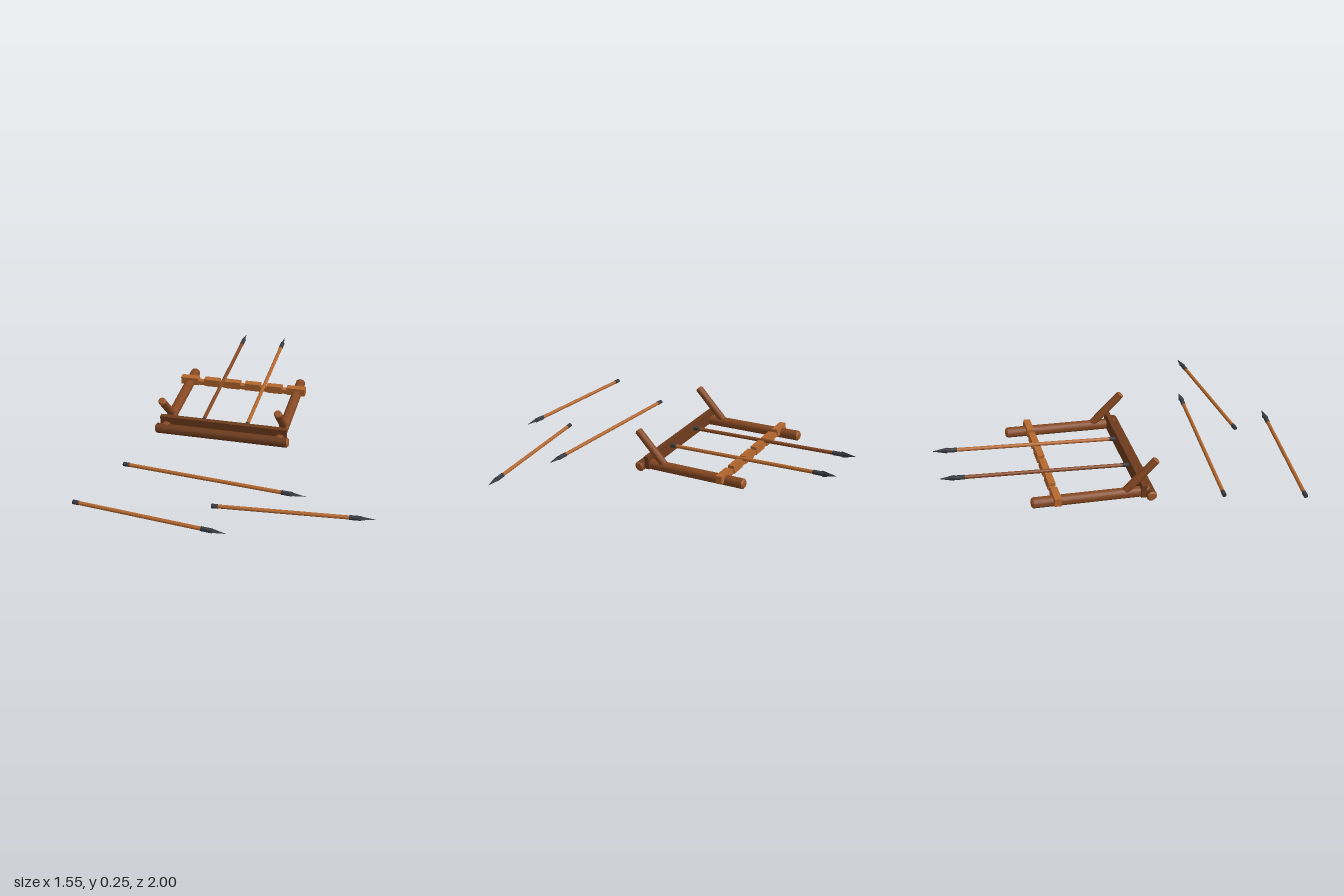
import * as THREE from 'three';
import { toCreasedNormals } from 'three/addons/utils/BufferGeometryUtils.js';

const mat = (name, color) => {
  const m = new THREE.MeshStandardMaterial({ color });
  m.name = name;
  return m;
};

export function createModel() {
  const root = new THREE.Group();
  root.name = 'spearLauncher';
  const darkWood = mat('darkWood', 0x6c3a1c);
  const midWood = mat('midWood', 0x864822);
  const cutWood = mat('cutWood', 0x9c5628);
  const lightWood = mat('lightWood', 0xb4672e);
  const metal = mat('darkMetal', 0x393b40);

  const add = (parent, name, geo, material) => {
    const m = new THREE.Mesh(toCreasedNormals(geo, 0.6), material);
    m.name = name;
    parent.add(m);
    return m;
  };

  // Log with chamfered, paler cut ends running between two points
  const log = (name, a, b, r, material) => {
    const g = new THREE.Group();
    g.name = name;
    const from = new THREE.Vector3(...a), to = new THREE.Vector3(...b);
    const len = from.distanceTo(to), c = r * 0.3;
    const lathe = (part, pts, m) =>
      add(g, part, new THREE.LatheGeometry(pts.map(p => new THREE.Vector2(...p)), 16, Math.PI / 16), m);
    lathe('bark', [[r, c], [r, len - c]], material);
    lathe('startCut', [[0, 0], [r - c, 0], [r, c]], cutWood);
    lathe('endCut', [[r, len - c], [r - c, len], [0, len]], cutWood);
    g.position.copy(from);
    g.quaternion.setFromUnitVectors(new THREE.Vector3(0, 1, 0), to.sub(from).normalize());
    root.add(g);
  };

  // Spear from tail to tip; roll turns the flat blade
  const spear = (name, a, b, wood, roll) => {
    const g = new THREE.Group();
    g.name = name;
    const from = new THREE.Vector3(...a), to = new THREE.Vector3(...b);
    const len = from.distanceTo(to);
    const rod = (part, z0, z1, r, material) =>
      add(g, part, new THREE.CylinderGeometry(r, r, z1 - z0, 12)
        .rotateX(Math.PI / 2).translate(0, 0, (z0 + z1) / 2), material);
    rod('shaft', 0.02, len - 0.12, 0.0105, wood);
    rod('buttCap', 0, 0.035, 0.012, metal);
    rod('socket', len - 0.135, len - 0.075, 0.0125, metal);
    // Flattened leaf blade with four facets
    const leaf = [[0, 0], [0.019, 0.02], [0, 0.1]].map(p => new THREE.Vector2(...p));
    const blade = add(g, 'blade', new THREE.LatheGeometry(leaf, 4)
      .rotateX(Math.PI / 2).scale(1, 0.35, 1).translate(0, 0, len - 0.1), metal);
    blade.rotation.z = roll;
    g.position.copy(from);
    g.lookAt(to);
    root.add(g);
  };

  // Frame: front log, two sloping rails and two slanted posts
  const cx = -0.196;
  log('frontLog', [-0.587, 0.038, 0.087], [0.194, 0.038, 0.087], 0.029, darkWood);
  for (const [side, s] of [['left', 1], ['right', -1]]) {
    const x = cx + s * 0.334;
    log(side + 'Rail', [x, 0.042, 0.09], [x, 0.095, -0.557], 0.029, midWood);
    log(side + 'Post', [x, 0.065, -0.05], [x, 0.238, 0.126], 0.022, midWood);
  }

  // Backing plank behind the front log
  const plank = add(root, 'frontPlank', new THREE.BoxGeometry(0.74, 0.075, 0.028), darkWood);
  plank.position.set(cx, 0.066, 0.048);
  plank.rotation.x = 0.085;

  // Notched crossbar that guides the spears
  const bar = new THREE.Group();
  bar.name = 'notchedCrossbar';
  bar.position.set(0, 0.1, -0.425);
  bar.rotation.x = 0.085;
  add(bar, 'barBase', new THREE.BoxGeometry(0.75, 0.026, 0.03), lightWood).position.set(cx, -0.004, 0);
  const teeth = [[-0.58, -0.47], [-0.435, -0.337], [-0.308, -0.21], [-0.18, -0.085], [-0.045, 0.05], [0.078, 0.19]];
  for (const [x0, x1] of teeth) {
    add(bar, 'barTooth', new THREE.BoxGeometry(x1 - x0, 0.046, 0.038), lightWood)
      .position.set((x0 + x1) / 2, 0.004, 0);
  }
  root.add(bar);

  // Two loaded spears with upright blades
  spear('loadedSpearRight', [-0.323, 0.077, 0.032], [-0.309, 0.182, -0.997], midWood, Math.PI / 2);
  spear('loadedSpearLeft', [-0.065, 0.077, 0.032], [-0.054, 0.182, -0.997], lightWood, Math.PI / 2);

  // Three spears lying on the ground
  const y = 0.0125;
  spear('groundSpearBack', [-0.648, y, 0.474], [0.388, y, 0.572], lightWood, 0);
  spear('groundSpearMiddle', [-0.07, y, 0.766], [0.77, y, 0.699], lightWood, 0);
  spear('groundSpearFront', [-0.775, y, 0.891], [0.068, y, 0.99], lightWood, 0);

  return root;
}
